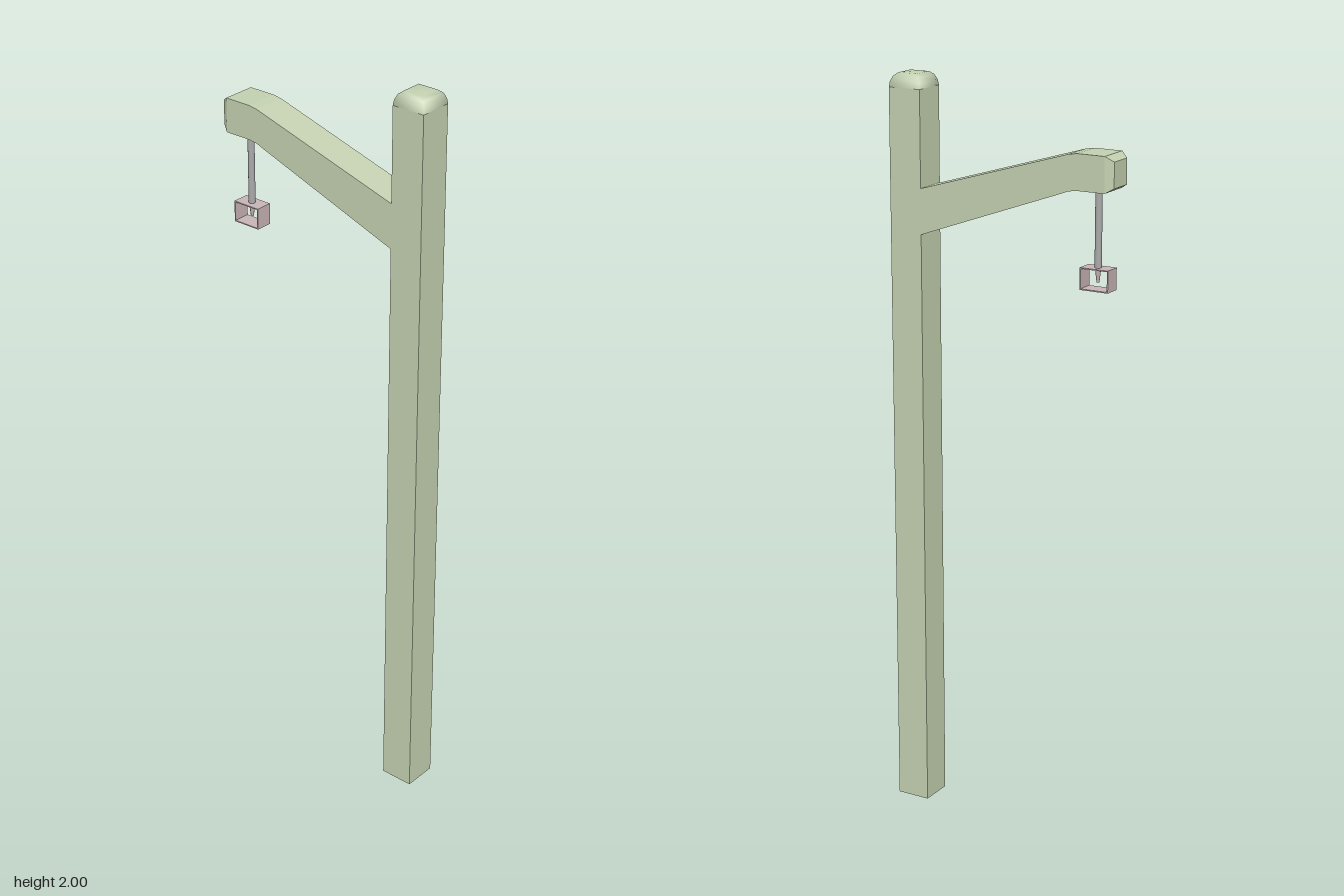
import * as THREE from 'three';

const POST_X = 0.274, HALF = 0.046, ROD_X = -0.263;

// Straight-sided arm built from rectangular sections: [x, bottom, top, half depth]
function armGeometry(sections) {
  const rings = sections.map(([x, b, t, h]) => [[x, b, -h], [x, b, h], [x, t, h], [x, t, -h]]);
  const pos = [];
  const quad = (a, b, c, d) => [a, b, c, a, c, d].forEach(p => pos.push(...p));
  for (let i = 0; i < rings.length - 1; i++) {
    const A = rings[i], B = rings[i + 1];
    for (let k = 0; k < 4; k++) {
      const n = (k + 1) % 4;
      quad(A[k], B[k], B[n], A[n]);
    }
  }
  quad(...rings[0]);
  quad(...[...rings[rings.length - 1]].reverse());
  const g = new THREE.BufferGeometry();
  g.setAttribute('position', new THREE.Float32BufferAttribute(pos, 3));
  g.computeVertexNormals();
  return g;
}

export function createModel() {
  const model = new THREE.Group();
  const wood = new THREE.MeshStandardMaterial({ color: 0xc3d0b0 });
  const steel = new THREE.MeshStandardMaterial({ color: 0xaaaaaa });
  const clampMat = new THREE.MeshStandardMaterial({ color: 0xc8b4b6 });

  const add = (parent, name, geometry, material, x = 0, y = 0, z = 0) => {
    const mesh = new THREE.Mesh(geometry, material);
    mesh.name = name;
    mesh.position.set(x, y, z);
    parent.add(mesh);
    return mesh;
  };

  // Square post
  add(model, 'post', new THREE.BoxGeometry(HALF * 2, 1.962, HALF * 2), wood, POST_X, 0.981);

  // Softly rounded four-sided cap
  const capProfile = [[0.046, 1.962], [0.044, 1.976], [0.038, 1.99], [0.028, 1.998], [0, 2]]
    .map(([r, y]) => new THREE.Vector2(r * Math.SQRT2, y));
  const cap = new THREE.LatheGeometry(capProfile, 4).rotateY(Math.PI / 4);
  add(model, 'postCap', cap, wood, POST_X);

  // Rising arm with a level, chamfered tip
  add(model, 'arm', armGeometry([
    [-0.322, 1.762, 1.828, 0.033],
    [-0.302, 1.75, 1.842, HALF],
    [-0.225, 1.75, 1.842, HALF],
    [-0.2, 1.746, 1.838, HALF],
    [-0.18, 1.738, 1.832, HALF],
    [0.23, 1.59, 1.71, HALF],
  ]), wood);

  // Hanging rod
  add(model, 'hangingRod', new THREE.CylinderGeometry(0.009, 0.009, 0.21, 12), steel, ROD_X, 1.655);

  // Thin rectangular bracket, open to front and back
  const bracket = new THREE.Group();
  bracket.name = 'bracket';
  bracket.position.set(ROD_X, 1.525, 0);
  const w = 0.08, h = 0.057, d = 0.046, t = 0.003;
  for (const s of [-1, 1]) {
    add(bracket, s > 0 ? 'bracketTop' : 'bracketBottom',
      new THREE.BoxGeometry(w, t, d), clampMat, 0, s * (h - t) / 2);
    add(bracket, s > 0 ? 'bracketLeft' : 'bracketRight',
      new THREE.BoxGeometry(t, h, d), clampMat, s * (w - t) / 2);
  }
  // Tapered pin under the rod
  add(bracket, 'pin', new THREE.CylinderGeometry(0.008, 0.004, 0.035, 8), clampMat, 0, 0.009);
  model.add(bracket);

  return model;
}
